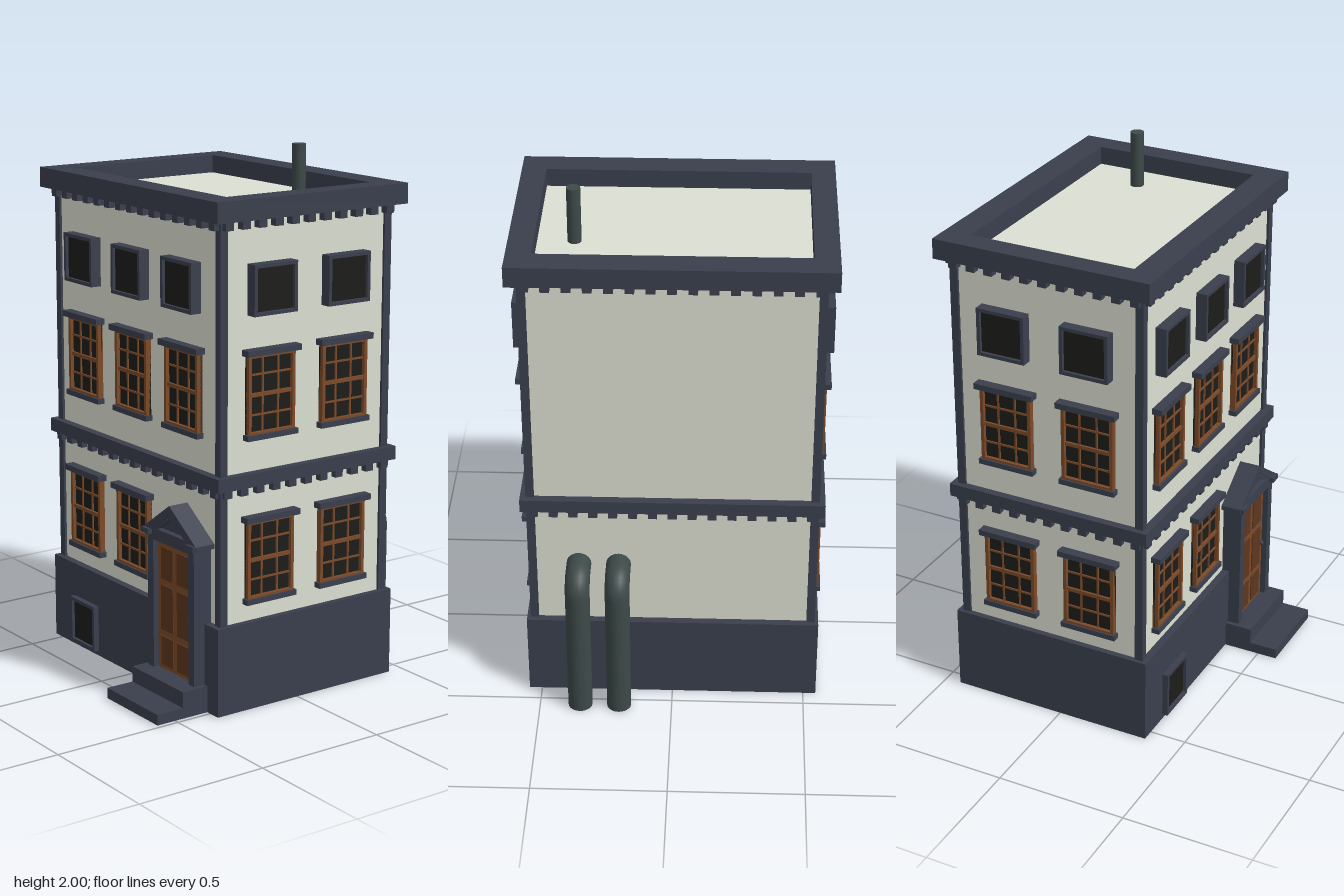
import * as THREE from 'three';

const paint = (color) => new THREE.MeshStandardMaterial({ color });
const trim = paint(0x3a3f4d), wall = paint(0xdcdfd2), wood = paint(0x7d4a28);
const darkWood = paint(0x5e371e), glass = paint(0x1c1d1a), metal = paint(0x3d4a48);
metal.side = THREE.DoubleSide;

const CX = 0.04;               // middle of the house in x
const W = 0.74, D = 1.05;      // wall faces
const BACK = Math.PI, LEFT = -Math.PI / 2;

function add(parent, name, geometry, material, x = 0, y = 0, z = 0) {
  const mesh = new THREE.Mesh(geometry, material);
  mesh.name = name;
  mesh.position.set(x, y, z);
  parent.add(mesh);
  return mesh;
}

const box = (parent, name, material, w, h, d, x, y, z) =>
  add(parent, name, new THREE.BoxGeometry(w, h, d), material, x, y, z);

// Rectangular frame in the xy plane, from z = 0 to z = depth
function frameGeometry(w, h, iw, ih, depth) {
  const rect = (a, b) => [[-a, -b], [a, -b], [a, b], [-a, b]].map(([x, y]) => new THREE.Vector2(x / 2, y / 2));
  const shape = new THREE.Shape(rect(w, h));
  shape.holes.push(new THREE.Path(rect(iw, ih)));
  return new THREE.ExtrudeGeometry(shape, { depth, bevelEnabled: false });
}

// Flat ring around the house, from y upwards
function ring(parent, name, w, d, iw, id, y, h) {
  add(parent, name, frameGeometry(w, d, iw, id, h).rotateX(-Math.PI / 2), trim, CX, y, 0);
}

// Sash window with 3 x 4 panes, y = 0 at the bottom of the frame
function sashWindow() {
  const g = new THREE.Group();
  g.name = 'sashWindow';
  const w = 0.205, h = 0.29;
  box(g, 'glass', glass, w, h, 0.012, 0, h / 2, 0.002);
  add(g, 'frame', frameGeometry(w, h, w - 0.026, h - 0.024, 0.022), wood, 0, h / 2, 0);
  for (const s of [-1, 1]) {
    box(g, 'verticalBar', wood, 0.007, h, 0.014, s * w / 6, h / 2, 0.006);
    box(g, 'horizontalBar', wood, w, 0.007, 0.014, 0, h / 2 + s * h / 4, 0.006);
  }
  box(g, 'meetingRail', wood, w, 0.014, 0.018, 0, h / 2, 0.008);
  box(g, 'lintel', trim, 0.235, 0.022, 0.038, 0, h + 0.009, 0.019);
  box(g, 'sill', trim, 0.222, 0.02, 0.03, 0, -0.006, 0.015);
  return g;
}

// Small framed opening centred on its own origin
function framedOpening(name, w, h, depth) {
  const g = new THREE.Group();
  g.name = name;
  add(g, 'frame', frameGeometry(w, h, w - 0.026, h - 0.026, depth), trim);
  box(g, 'pane', glass, w - 0.02, h - 0.02, depth, 0, 0, depth / 2 - 0.012);
  return g;
}

// Door with a gabled surround, facing local +z
function entrance() {
  const g = new THREE.Group();
  g.name = 'entrance';
  const points = (list) => list.map(([x, y]) => new THREE.Vector2(x, y));
  const shape = new THREE.Shape(points([[-0.145, 0], [0.145, 0], [0.145, 0.62], [0, 0.72], [-0.145, 0.62]]));
  shape.holes.push(new THREE.Path(points([[-0.11, 0.09], [0.11, 0.09], [0.11, 0.59], [-0.11, 0.59]])));
  shape.holes.push(new THREE.Path(points([[-0.085, 0.635], [0.085, 0.635], [0, 0.69]])));
  add(g, 'surround', new THREE.ExtrudeGeometry(shape, { depth: 0.075, bevelEnabled: false }), trim);
  box(g, 'tympanum', trim, 0.18, 0.07, 0.05, 0, 0.645, 0.027);
  // Sloping roof of the porch
  const roof = new THREE.Shape(points([[-0.165, 0.61], [-0.14, 0.61], [0, 0.712], [0.14, 0.61], [0.165, 0.61], [0.165, 0.628], [0, 0.742], [-0.165, 0.628]]));
  add(g, 'gable', new THREE.ExtrudeGeometry(roof, { depth: 0.08, bevelEnabled: false }), trim);
  box(g, 'door', wood, 0.22, 0.5, 0.05, 0, 0.34, 0.028);
  for (const s of [-1, 1]) {
    box(g, 'capital', trim, 0.045, 0.02, 0.092, s * 0.14, 0.62, 0.046);
    for (const [y, h] of [[0.17, 0.11], [0.335, 0.17], [0.505, 0.12]])
      box(g, 'doorPanel', darkWood, 0.075, h, 0.01, s * 0.05, y, 0.052);
  }
  add(g, 'doorKnob', new THREE.SphereGeometry(0.009, 10, 8), trim, 0.095, 0.34, 0.06);
  return g;
}

// Drain pipe that leaves the wall and bends down to the ground
function pipe(z) {
  const path = new THREE.CurvePath();
  const v = (x, y) => new THREE.Vector3(x, y, 0);
  const x = 0.526, y = 0.581, r = 0.062, k = r * 0.448;
  path.add(new THREE.LineCurve3(v(0.4, y), v(x - r, y)));
  path.add(new THREE.CubicBezierCurve3(v(x - r, y), v(x - k, y), v(x, y - k), v(x, y - r)));
  path.add(new THREE.LineCurve3(v(x, y - r), v(x, 0)));
  const g = new THREE.Group();
  g.name = 'drainPipe';
  add(g, 'tube', new THREE.TubeGeometry(path, 60, 0.046, 20), metal);
  add(g, 'pipeEnd', new THREE.CircleGeometry(0.046, 20).rotateX(Math.PI / 2), metal, x, 0.001, 0);
  g.position.z = z;
  return g;
}

export function createModel() {
  const house = new THREE.Group();
  house.name = 'townHouse';

  // Walls, plinth and corner posts
  box(house, 'walls', wall, W, 1.79, D, CX, 0.895, 0);
  ring(house, 'plinth', 0.798, 1.096, W - 0.01, D - 0.01, 0, 0.33);
  for (const sx of [-1, 1]) for (const sz of [-1, 1])
    box(house, 'cornerPost', trim, 0.031, 1.47, 0.031, CX + sx * 0.364, 1.06, sz * 0.519);

  // Cornices with a row of dentils under each
  ring(house, 'middleCornice', 0.806, 1.11, W - 0.01, D - 0.01, 0.833, 0.05);
  ring(house, 'roofCornice', 0.842, 1.146, 0.637, 0.967, 1.783, 0.075);
  for (const [y, out] of [[0.822, 0.024], [1.769, 0.03]]) {
    for (const s of [-1, 1]) {
      for (let i = -5; i <= 5; i++)
        box(house, 'dentil', trim, 0.033, 0.034, out, CX + i * 0.071, y, s * (D / 2 + out / 2));
      for (let i = -7; i <= 7; i++)
        box(house, 'dentil', trim, out, 0.034, 0.033, CX + s * (W / 2 + out / 2), y, i * 0.0725);
    }
  }

  // Put a part on the front, back or left wall, at a distance along it
  const place = (part, turn, along, y, proud = 0) => {
    if (turn === LEFT) part.position.set(CX - W / 2 - proud, y, along);
    else part.position.set(along, y, (turn === BACK ? -1 : 1) * (D / 2 + proud));
    part.rotation.y = turn;
    house.add(part);
  };

  // Front and back windows
  for (const turn of [0, BACK]) {
    for (const x of [-0.124, 0.204]) {
      place(sashWindow(), turn, x, 0.413);
      place(sashWindow(), turn, x, 1.016);
      place(framedOpening('atticWindow', 0.188, 0.182, 0.042), turn, x, 1.536);
    }
  }

  // Left side windows, cellar hatch and entrance
  for (const z of [-0.33, -0.01, 0.31]) {
    if (z < 0.3) place(sashWindow(), LEFT, z, 0.413);
    place(sashWindow(), LEFT, z, 1.016);
    place(framedOpening('atticWindow', 0.188, 0.182, 0.042), LEFT, z, 1.536);
  }
  place(framedOpening('cellarHatch', 0.17, 0.18, 0.022), LEFT, -0.32, 0.11, 0.029);
  place(entrance(), LEFT, 0.32, 0);

  // Entrance steps
  box(house, 'lowerStep', trim, 0.235, 0.04, 0.325, -0.458, 0.02, 0.32);
  box(house, 'upperStep', trim, 0.125, 0.1, 0.325, -0.403, 0.05, 0.32);

  // Pipes and chimney
  house.add(pipe(0.347), pipe(0.2));
  add(house, 'chimney', new THREE.CylinderGeometry(0.025, 0.025, 0.22, 16), metal, 0.137, 1.89, 0.352);
  return house;
}
